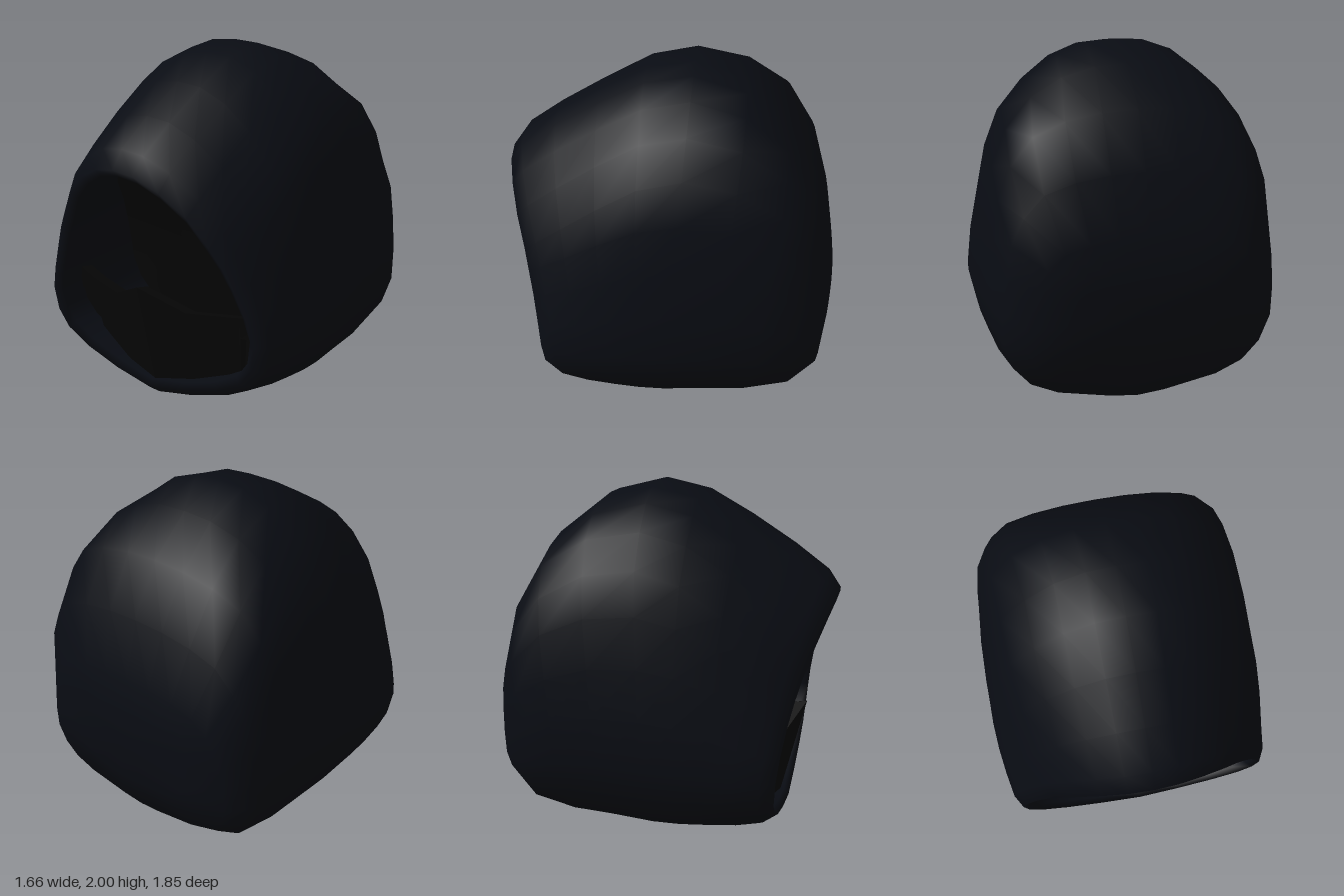
import * as THREE from 'three';

// Half outlines from top to bottom: [x, y], scaled to width 1 and height 1
const OPENING = [[0, 1], [.18, .985], [.37, .93], [.56, .84], [.7, .72], [.78, .65], [.86, .56], [.95, .44],
  [1, .34], [.97, .235], [.87, .16], [.65, .095], [.35, .04], [0, 0]];
const BODY = [[0, 1], [.19, .995], [.39, .965], [.58, .905], [.76, .82], [.86, .71], [.92, .575], [.976, .44],
  [1, .3], [.945, .195], [.82, .115], [.63, .07], [.2, .015], [0, 0]];
const BACK = [[0, 1], [.24, .995], [.48, .975], [.69, .935], [.83, .845], [.915, .74], [.96, .6], [.99, .46],
  [.995, .32], [.925, .2], [.8, .115], [.6, .06], [.2, .012], [0, 0]];

// One closed ring; z runs from zBottom to zTop along the height
function ring([zTop, zBottom, yTop, yBottom, halfWidth, blend, power, from = OPENING, to = BODY]) {
  const half = from.map(([x, y], i) => {
    const f = THREE.MathUtils.lerp(y, to[i][1], blend);
    return [
      halfWidth * THREE.MathUtils.lerp(x, to[i][0], blend),
      yBottom + (yTop - yBottom) * f,
      zBottom + (zTop - zBottom) * Math.pow(f, power),
    ];
  });
  const mirrored = half.slice(1, -1).reverse().map(([x, y, z]) => [-x, y, z]);
  return [...half, ...mirrored];
}

// Skin between closed rings, optionally closed at the end with a point
function loft(rings, tip) {
  const n = rings[0].length;
  const index = [];
  for (let i = 0; i < rings.length - 1; i++) {
    for (let j = 0; j < n; j++) {
      const a = i * n + j, b = i * n + (j + 1) % n;
      index.push(a, b, a + n, b, b + n, a + n);
    }
  }
  const points = rings.flat();
  if (tip) {
    const last = (rings.length - 1) * n;
    for (let j = 0; j < n; j++) index.push(last + j, last + (j + 1) % n, points.length);
    points.push(tip);
  }
  const geometry = new THREE.BufferGeometry();
  geometry.setAttribute('position', new THREE.Float32BufferAttribute(points.flat(), 3));
  geometry.setIndex(index);
  geometry.computeVertexNormals();
  return geometry;
}

// Mirrored band from half columns of [x, yTop, yBottom, zTop, zBottom]
function band(half) {
  const columns = [...half.slice(1).reverse().map(([x, ...rest]) => [-x, ...rest]), ...half];
  return loft(columns.map(([x, yt, yb, zt, zb]) => [
    [x, yt, zt], [x, yb, zb], [x, yb, zb - .07], [x, yt - .02, zt - .09],
  ]));
}

export function createModel() {
  const group = new THREE.Group();
  const add = (name, geometry, material) => {
    const mesh = new THREE.Mesh(geometry, material);
    mesh.name = name;
    group.add(mesh);
  };
  const cloth = new THREE.MeshStandardMaterial({ color: 0x090c13, side: THREE.DoubleSide });
  const black = new THREE.MeshStandardMaterial({ color: 0x070707, side: THREE.DoubleSide });
  const blackFlat = new THREE.MeshStandardMaterial({ color: 0x060606, side: THREE.DoubleSide, flatShading: true });

  // Hood: inner wall, rolled rim, then the outer shell to the back
  // [zTop, zBottom, yTop, yBottom, halfWidth, blend, power]
  const innerEdge = [.72, -.05, 1.42, .14, .71, 0, 2.2];
  const frontRings = [
    innerEdge,
    [.88, .65, 1.39, .165, .685, 0, 2.6],
    [.92, .68, 1.43, .13, .73, .1, 2.6],
    [.85, .6, 1.53, .07, .775, .2, 2.6],
    [.65, .45, 1.67, .03, .8, .37, 2],
    [.4, .27, 1.82, .01, .82, .6, 1],
    [.15, .15, 1.95, 0, .83, .87, 1],
    [-.11, .03, 2, 0, .83, 1, 1],
  ].map(values => ring(values));
  const backRings = [
    [-.4, -.2, 1.92, .02, .82, .4, 1],
    [-.64, -.43, 1.73, .04, .8, .9, 1],
    [-.8, -.69, 1.45, .11, .75, 1, 1],
    [-.89, -.84, 1.13, .25, .63, 1, 1],
    [-.92, -.9, .95, .47, .4, 1, 1],
  ].map(values => ring([...values, BODY, BACK]));
  add('hood', loft([...frontRings, ...backRings], [0, .75, -.925]), cloth);

  // Dark face panel closing the opening deep inside
  add('facePanel', loft([ring(innerEdge)], [0, .85, .25]), black);

  // Mask over the lower face with a pointed nose and side straps
  add('mask', band([
    [0, .75, .12, .765, .62],
    [.25, .63, .14, .66, .57],
    [.5, .645, .2, .59, .49],
    [.54, .645, .52, .57, .55],
    [.7, .66, .52, .51, .5],
  ]), blackFlat);

  // Recessed lining below the straps
  add('cheekLining', band([
    [0, .53, .15, .5, .5],
    [.5, .55, .24, .5, .46],
    [.69, .55, .38, .5, .48],
  ]), blackFlat);

  return group;
}
